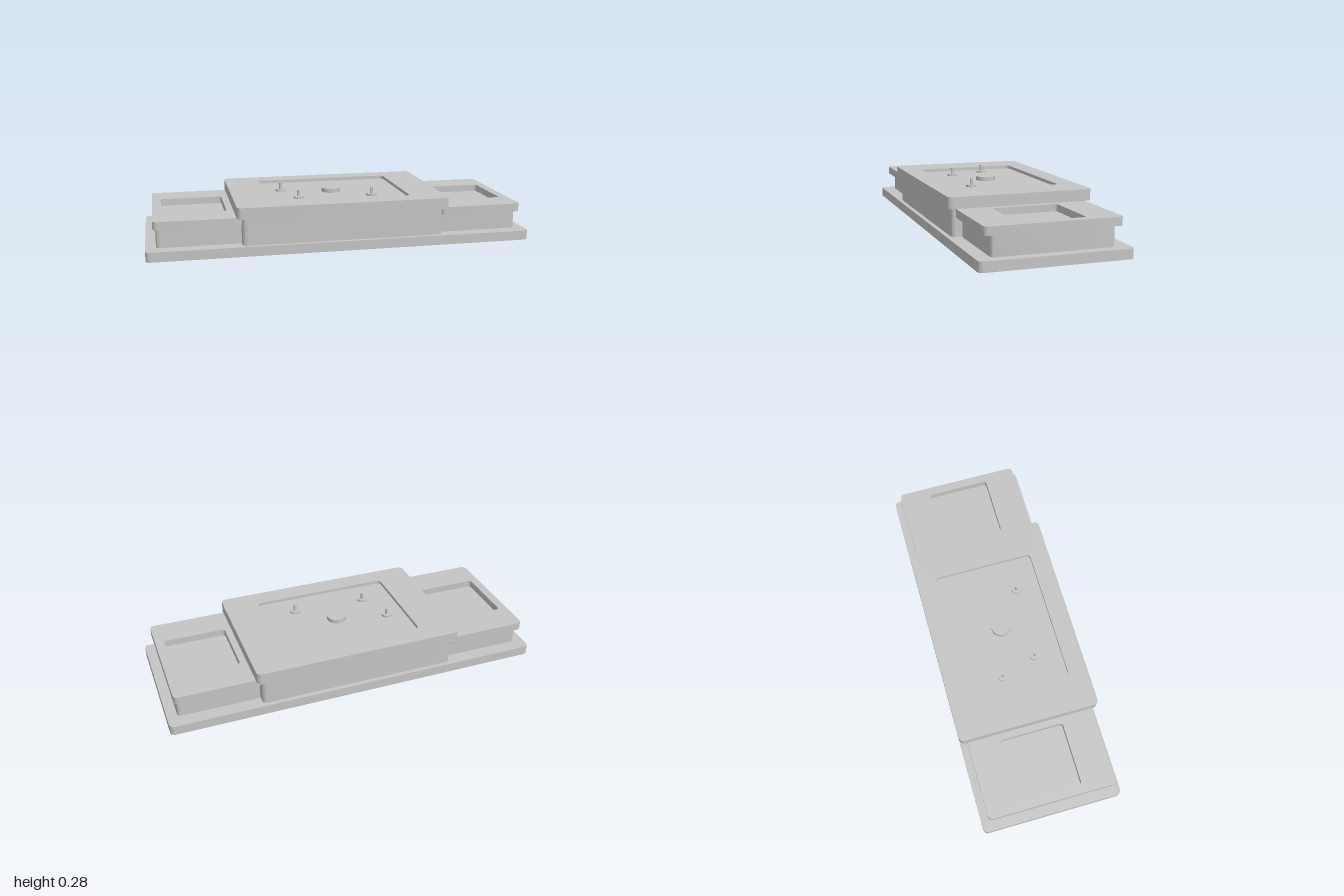
import * as THREE from 'three';
import { toCreasedNormals } from 'three/addons/utils/BufferGeometryUtils.js';

const grey = new THREE.MeshStandardMaterial({ color: 0xc4c4c4 });
grey.name = 'plain grey';

// Rounded rectangle outline: centre x, width along x, depth along z, corner radius
function outline(Type, cx, w, d, r) {
  const p = new Type(), x = w / 2, z = d / 2;
  p.absarc(cx + x - r, z - r, r, 0, Math.PI / 2);
  p.absarc(cx - x + r, z - r, r, Math.PI / 2, Math.PI);
  p.absarc(cx - x + r, -z + r, r, Math.PI, Math.PI * 1.5);
  p.absarc(cx + x - r, -z + r, r, Math.PI * 1.5, Math.PI * 2);
  p.closePath();
  return p;
}

// Horizontal slab from y0 to y1, with optional openings; each rect is [cx, w, d, r]
function slab(name, y0, y1, rect, holes = []) {
  const shape = outline(THREE.Shape, ...rect);
  holes.forEach((h) => shape.holes.push(outline(THREE.Path, ...h)));
  const geo = new THREE.ExtrudeGeometry(shape, { depth: y1 - y0, bevelEnabled: false, curveSegments: 6 });
  geo.rotateX(-Math.PI / 2).translate(0, y0, 0);
  const mesh = new THREE.Mesh(toCreasedNormals(geo, 0.6), grey);
  mesh.name = name;
  return mesh;
}

function disc(name, r, y0, y1, x, z) {
  const mesh = new THREE.Mesh(new THREE.CylinderGeometry(r, r, y1 - y0, 32), grey);
  mesh.position.set(x, (y0 + y1) / 2, z);
  mesh.name = name;
  return mesh;
}

export function createModel() {
  const group = new THREE.Group();
  group.name = 'steppedHousing';
  const centreOpening = [0, 0.9, 0.6, 0.02];
  const recess = (s) => [s * 0.749, 0.328, 0.336, 0.015];

  // Base: hollow rim, open underneath, with a top sheet
  const base = [0, 2, 0.746, 0.025];
  group.add(slab('baseRim', 0, 0.045, base, [[0, 1.988, 0.734, 0.02]]));
  group.add(slab('baseTop', 0.045, 0.05, base, [centreOpening, recess(1), recess(-1)]));

  // Centre block with its overhanging lid and shallow sunken floor
  group.add(slab('centreBody', 0.05, 0.191, [0, 1.045, 0.7, 0.025], [centreOpening]));
  group.add(slab('centreLid', 0.191, 0.249, [0, 1.1, 0.746, 0.025], [[0, 0.735, 0.54, 0.025]]));
  group.add(slab('centreFloor', 0.227, 0.232, [0, 0.736, 0.541, 0.025]));

  // Lower wings at both ends
  for (const s of [1, -1]) {
    group.add(slab('wingBody', 0.05, 0.149, [s * 0.732, 0.43, 0.6, 0.02], [recess(s)]));
    group.add(slab('wingLid', 0.149, 0.191, [s * 0.74, 0.44, 0.67, 0.025], [recess(s)]));
    group.add(slab('wingFloor', 0.149, 0.155, recess(s)));
    // Collar around the opening underneath
    group.add(slab('undersideCollar', 0.005, 0.046, [s * 0.749, 0.34, 0.348, 0.018], [recess(s)]));
    // Narrow rib across the underside
    const rib = new THREE.Mesh(new THREE.BoxGeometry(0.004, 0.02, 0.706), grey);
    rib.position.set(s * 0.515, 0.036, 0);
    rib.name = 'undersideRib';
    group.add(rib);
  }

  // Centre button and three studs
  group.add(disc('centreButton', 0.051, 0.23, 0.253, 0, 0));
  for (const [x, z] of [[-0.268, -0.064], [-0.202, 0.13], [0.19, 0.143]]) {
    group.add(disc('studFlange', 0.027, 0.23, 0.242, x, z));
    group.add(disc('studPin', 0.008, 0.24, 0.275, x, z));
  }
  return group;
}
